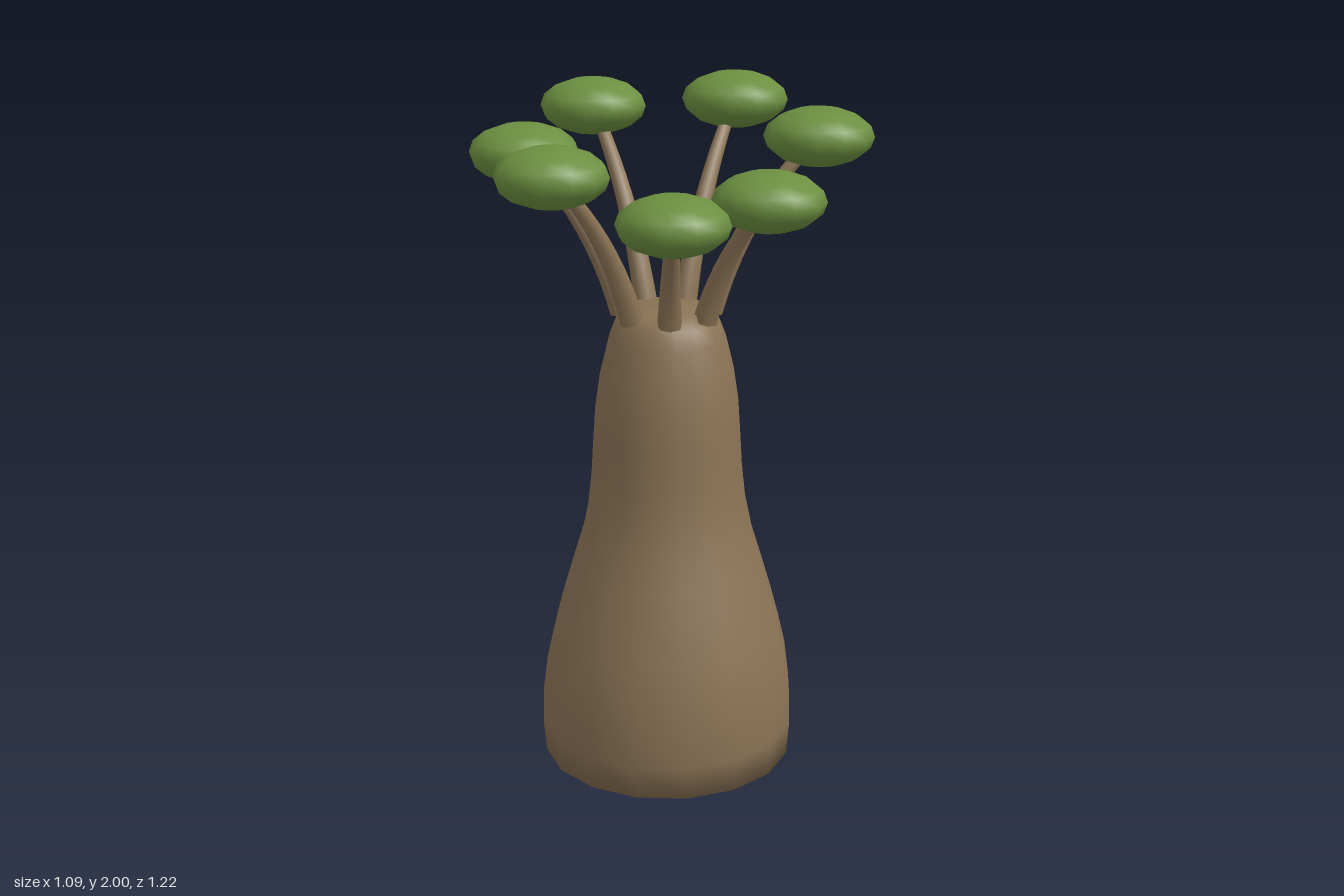
import * as THREE from 'three';

const CX = 0.048, CZ = 0.048; // trunk axis
const bark = new THREE.MeshStandardMaterial({ color: 0x8b7355 });
const leaf = new THREE.MeshStandardMaterial({ color: 0x6b8f40 });

function add(parent, name, geometry, material) {
  const mesh = new THREE.Mesh(geometry, material);
  mesh.name = name;
  parent.add(mesh);
  return mesh;
}

// Tube whose radius shrinks linearly from r0 to r1
function taperedTube(curve, segments, r0, r1, sides) {
  const geo = new THREE.TubeGeometry(curve, segments, 1, sides);
  const pos = geo.attributes.position, v = new THREE.Vector3();
  for (let i = 0; i < pos.count; i++) {
    const t = Math.floor(i / (sides + 1)) / segments;
    const c = curve.getPointAt(t);
    v.fromBufferAttribute(pos, i).sub(c).multiplyScalar(r0 + (r1 - r0) * t).add(c);
    pos.setXYZ(i, v.x, v.y, v.z);
  }
  return geo;
}

export function createModel() {
  const tree = new THREE.Group();
  tree.name = 'bottleTree';

  // Swollen trunk, closed at both ends
  const profile = [
    [0, 0], [0.374, 0], [0.382, 0.1], [0.38, 0.2], [0.366, 0.31], [0.345, 0.4],
    [0.318, 0.5], [0.288, 0.6], [0.257, 0.7], [0.236, 0.8], [0.225, 0.9], [0.219, 1.0],
    [0.212, 1.1], [0.197, 1.2], [0.172, 1.3], [0.152, 1.35], [0.125, 1.385], [0, 1.388],
  ].map(([r, y]) => new THREE.Vector2(r, y));
  add(tree, 'trunk', new THREE.LatheGeometry(profile, 16), bark).position.set(CX, 0, CZ);

  // Crown centres, one branch for each
  const crowns = [
    [-0.06, 1.915, -0.45], [0.33, 1.86, -0.303], [0.387, 1.735, 0.042], [0.235, 1.69, 0.28],
    [-0.05, 1.815, 0.445], [-0.33, 1.82, 0.222], [-0.387, 1.9, -0.172],
  ];
  const crownGeo = new THREE.SphereGeometry(0.16, 12, 8).scale(1, 0.53, 1);

  for (const [x, y, z] of crowns) {
    const limb = new THREE.Group();
    limb.name = 'limb';
    tree.add(limb);

    // Branch rises steeply from the shoulder, then leans outward
    const d = Math.hypot(x - CX, z - CZ), y0 = 1.365, r0 = 0.132;
    const at = (r, h) => new THREE.Vector3(CX + (x - CX) * r / d, h, CZ + (z - CZ) * r / d);
    const curve = new THREE.QuadraticBezierCurve3(
      at(r0, y0), at(r0 + 0.3 * (d - r0), y0 + 0.6 * (y - y0)), at(d, y));
    add(limb, 'branch', taperedTube(curve, 10, 0.036, 0.017, 7), bark);

    // Flat end closing the branch foot
    const cap = add(limb, 'branchFoot', new THREE.CircleGeometry(0.036, 7), bark);
    cap.position.copy(curve.getPointAt(0));
    cap.quaternion.setFromUnitVectors(new THREE.Vector3(0, 0, 1), curve.getTangentAt(0).negate());

    // Flattened leaf cluster
    add(limb, 'foliage', crownGeo, leaf).position.set(x, y, z);
  }
  return tree;
}
